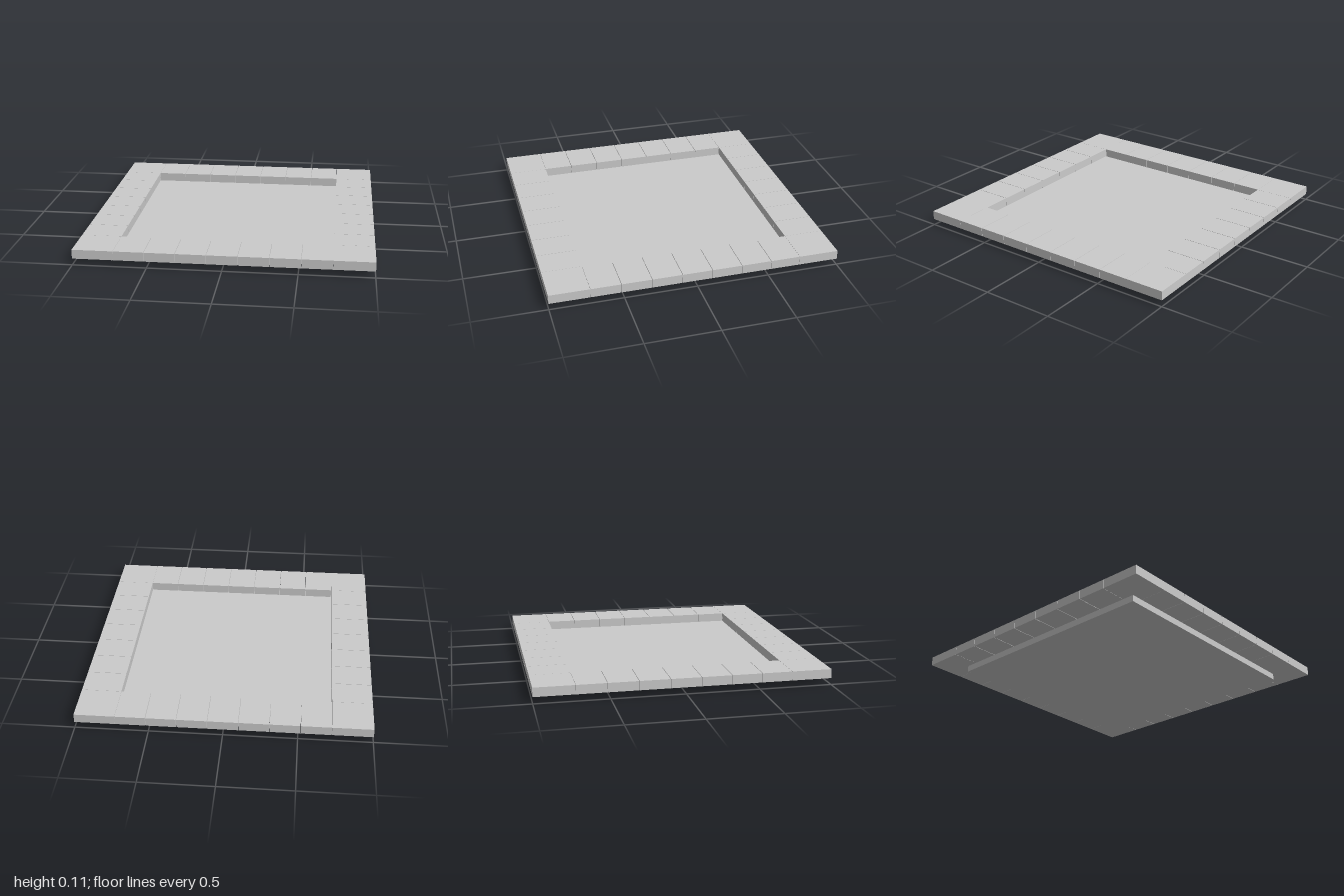
import * as THREE from 'three';

const OUTER = 1, INNER = 0.725, BASE = 0.81;
const BASE_TOP = 0.045, TOP = 0.108;
const PER_SIDE = 7, GAP = 0.003;

export function createModel() {
  const group = new THREE.Group();
  const material = new THREE.MeshStandardMaterial({ color: 0xcccccc, flatShading: true });

  const addBox = (name, parent, w, h, d, x, y, z) => {
    const mesh = new THREE.Mesh(new THREE.BoxGeometry(w, h, d), material);
    mesh.name = name;
    mesh.position.set(x, y, z);
    parent.add(mesh);
  };

  // Square floor slab carrying the border
  addBox('baseSlab', group, BASE * 2, BASE_TOP, BASE * 2, 0, BASE_TOP / 2, 0);

  // Raised border: each side is a corner stone followed by a row of edge stones
  const depth = OUTER - INNER;
  const mid = (OUTER + INNER) / 2;
  const height = TOP - BASE_TOP;
  const y = (TOP + BASE_TOP) / 2;
  const step = (INNER * 2) / PER_SIDE;
  for (let side = 0; side < 4; side++) {
    const row = new THREE.Group();
    row.name = 'borderSide';
    row.rotation.y = (side * Math.PI) / 2;
    addBox('cornerStone', row, depth, height, depth, -mid, y, mid);
    for (let i = 0; i < PER_SIDE; i++) {
      addBox('edgeStone', row, step - GAP, height, depth, -INNER + (i + 0.5) * step, y, mid);
    }
    group.add(row);
  }
  return group;
}
